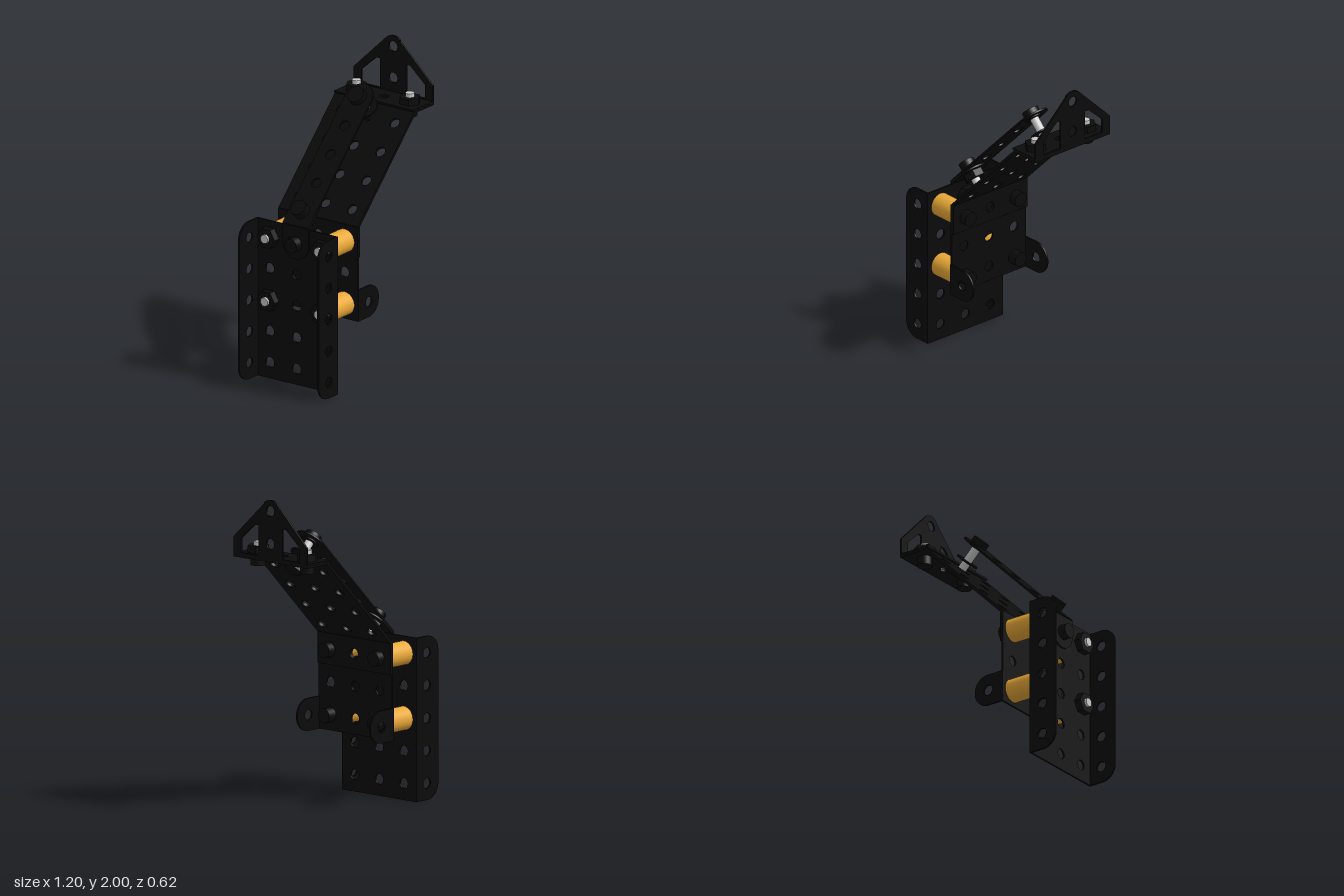
import * as THREE from 'three';

const black = new THREE.MeshStandardMaterial({ color: 0x0b0b0b });
const gold = new THREE.MeshStandardMaterial({ color: 0xe8a838 });
const silver = new THREE.MeshStandardMaterial({ color: 0xcccccc });

const P = 0.205;        // hole pitch
const R = 0.033;        // hole radius
const T = 0.012;        // sheet thickness
const W = 0.305;        // half width of the wide plates
const S = Math.SQRT1_2; // 45 degree slope

// Rectangle outline with a radius per corner: [bottom left, bottom right, top right, top left]
function rect(x0, y0, x1, y1, [a, b, c, d] = [0, 0, 0, 0]) {
  const s = new THREE.Shape();
  s.moveTo(x0 + a, y0).lineTo(x1 - b, y0);
  if (b) s.absarc(x1 - b, y0 + b, b, -Math.PI / 2, 0);
  s.lineTo(x1, y1 - c);
  if (c) s.absarc(x1 - c, y1 - c, c, 0, Math.PI / 2);
  s.lineTo(x0 + d, y1);
  if (d) s.absarc(x0 + d, y1 - d, d, Math.PI / 2, Math.PI);
  s.lineTo(x0, y0 + a);
  if (a) s.absarc(x0 + a, y0 + a, a, Math.PI, Math.PI * 1.5);
  return s;
}

function punch(shape, points) {
  for (const [x, y] of points) shape.holes.push(new THREE.Path().absarc(x, y, R, 0, Math.PI * 2, true));
  return shape;
}

// Every combination of column and row
const grid = (cols, rows) => cols.flatMap(c => rows.map(r => [c, r]));

function sheet(name, shape, t = T) {
  const geo = new THREE.ExtrudeGeometry(shape, { depth: t, bevelEnabled: false, curveSegments: 16 });
  geo.translate(0, 0, -t / 2);
  const mesh = new THREE.Mesh(geo, black);
  mesh.name = name;
  return mesh;
}

// Sheet whose width runs along z and whose length runs along (dx, dy) from (x, y)
function crossSheet(name, shape, x, y, dx, dy, t = T) {
  const mesh = sheet(name, shape, t);
  const m = new THREE.Matrix4().makeBasis(
    new THREE.Vector3(0, 0, 1), new THREE.Vector3(dx, dy, 0), new THREE.Vector3(-dy, dx, 0));
  mesh.quaternion.setFromRotationMatrix(m);
  mesh.position.set(x, y, 0);
  return mesh;
}

// Stack of cylinders along one axis; each part is [name, from, to, radius, sides, material]
function fastener(name, x, y, z, dx, dy, parts) {
  const g = new THREE.Group();
  g.name = name;
  for (const [n, from, to, r, sides, mat] of parts) {
    const geo = new THREE.CylinderGeometry(r, r, to - from, sides);
    geo.translate(0, (from + to) / 2, 0);
    const mesh = new THREE.Mesh(sides === 6 ? geo.toNonIndexed() : geo, mat);
    if (sides === 6) mesh.geometry.computeVertexNormals();
    mesh.name = n;
    g.add(mesh);
  }
  g.quaternion.setFromUnitVectors(new THREE.Vector3(0, 1, 0), new THREE.Vector3(dx, dy, 0));
  g.position.set(x, y, z);
  return g;
}

export function createModel() {
  const model = new THREE.Group();
  model.name = 'bracketAssembly';
  const cols = [-P, 0, P];
  const rows = [0, 1, 2, 3, 4].map(i => 0.105 + i * P);

  // Upright channel
  const channel = new THREE.Group();
  channel.name = 'channel';
  channel.add(crossSheet('channelWeb', punch(rect(-W, 0, W, 1.03), grid(cols, rows)), -0.405, 0, 0, 1));
  for (const s of [-1, 1]) {
    const side = sheet('channelFlange', punch(rect(-0.6, 0, -0.399, 1.03, [0.1, 0, 0, 0.1]), grid([-0.495], rows)));
    side.position.z = s * (W - 0.001);
    channel.add(side);
  }
  model.add(channel);

  // Front plate with two ears
  const front = new THREE.Group();
  front.name = 'frontPlate';
  front.add(crossSheet('frontWeb', punch(rect(-W, 0.415, W, 1.03), grid(cols, rows.slice(2))), -0.185, 0, 0, 1));
  for (const s of [-1, 1]) {
    const ear = sheet('ear', punch(rect(-0.191, 0.415, 0.022, 0.62, [0, 0.1, 0.1, 0]), [[-0.08, 0.515]]));
    ear.position.z = s * (W - 0.001);
    front.add(ear);
  }
  model.add(front);

  // Standoffs with screws and nuts
  for (const y of [rows[2], rows[4]]) for (const z of [-P, P]) {
    model.add(fastener('standoff', 0, y, z, 1, 0, [
      ['spacer', -0.4, -0.19, 0.075, 32, gold],
      ['screw', -0.472, -0.12, 0.028, 20, silver],
      ['nut', -0.456, -0.411, 0.069, 6, black],
      ['screwHead', y > 0.8 ? -0.167 : -0.179, -0.115, 0.047, 24, black],
    ]));
  }

  // Bent arm: foot, slope and top flange
  const arm = new THREE.Group();
  arm.name = 'arm';
  arm.add(crossSheet('armFoot', punch(rect(-W, 0.83, W, 1.035), grid(cols, [rows[4]])), -0.173, 0, 0, 1));
  const slopeRows = [0, 1, 2, 3].map(i => 0.1 + i * 0.207);
  arm.add(crossSheet('armSlope', punch(rect(-W, -0.005, W, 0.826), grid(cols, slopeRows)), -0.178, 1.03, S, S, 0.018));
  arm.add(crossSheet('armTop', punch(rect(-W, 0.4, W, 0.6), grid(cols, [0.485])), 0, 1.614, 1, 0));
  model.add(arm);

  // End bracket: foot and pointed upright with two windows
  const end = new THREE.Group();
  end.name = 'endBracket';
  end.add(crossSheet('endFoot', punch(rect(-W, 0.385, W, 0.598), grid(cols, [0.485])), 0, 1.627, 1, 0));
  const tip = new THREE.Shape();
  tip.moveTo(-W, 1.62).lineTo(W, 1.62).lineTo(W, 1.735).lineTo(0.053, 1.973);
  tip.absarc(0, 1.92, 0.08, Math.PI * 0.27, Math.PI * 0.73);
  tip.lineTo(-W, 1.735);
  punch(tip, [[0, 1.93], [0, 1.725]]);
  for (const s of [-1, 1]) {
    tip.holes.push(new THREE.Path([[0.1, 1.64], [0.243, 1.64], [0.243, 1.73], [0.13, 1.83], [0.1, 1.83]]
      .map(([z, y]) => new THREE.Vector2(s * z, y))));
  }
  end.add(crossSheet('endUpright', tip, 0.594, 0, 0, 1));
  model.add(end);
  for (const z of [-P, P]) {
    model.add(fastener('endScrew', 0.485, 1.62, z, 0, 1, [
      ['screw', -0.05, 0.08, 0.028, 20, silver],
      ['nut', 0.013, 0.055, 0.069, 6, black],
      ['screwHead', -0.068, -0.012, 0.047, 24, black],
    ]));
  }

  // Narrow angle bracket behind the channel, carrying the strap
  const angle = new THREE.Group();
  angle.name = 'angleBracket';
  angle.add(crossSheet('angleFoot', punch(rect(-0.1, 0.825, 0.1, 1.04, [0.1, 0.1, 0, 0]), [[0, rows[4]]]), -0.417, 0, 0, 1));
  angle.add(crossSheet('angleTop', punch(rect(-0.1, 0, 0.1, 0.205, [0, 0, 0.1, 0.1]), [[0, 0.1]]), -0.413, 1.032, S, S));
  model.add(angle);
  model.add(fastener('angleScrew', 0, rows[4], 0, 1, 0, [
    ['screwHead', -0.476, -0.423, 0.047, 24, black],
    ['screw', -0.45, -0.335, 0.028, 20, silver],
    ['nut', -0.399, -0.354, 0.069, 6, black],
  ]));

  // Long strap with rounded ends
  const strapRows = [0, 1, 2, 3, 4].map(i => 0.1 + i * 0.207);
  model.add(crossSheet('strap', punch(rect(-0.1, 0, 0.1, 1.02, [0, 0, 0.1, 0.1]), grid([0], strapRows)), -0.42, 1.041, S, S));

  // Lower strap screw
  model.add(fastener('strapScrew', -0.345, 1.107, 0, S, -S, [
    ['screwHead', -0.07, -0.008, 0.052, 24, black],
    ['screw', -0.05, 0.085, 0.028, 20, silver],
    ['nut', 0.008, 0.055, 0.069, 6, black],
  ]));

  // Upper spacer screw joining strap and arm
  model.add(fastener('spacerScrew', 0.235, 1.69, 0, S, -S, [
    ['screwHead', -0.05, 0.01, 0.055, 24, black],
    ['screw', -0.03, 0.19, 0.028, 20, silver],
    ['washer', 0.104, 0.114, 0.075, 28, black],
    ['nut', 0.165, 0.225, 0.062, 6, black],
  ]));

  return model;
}
